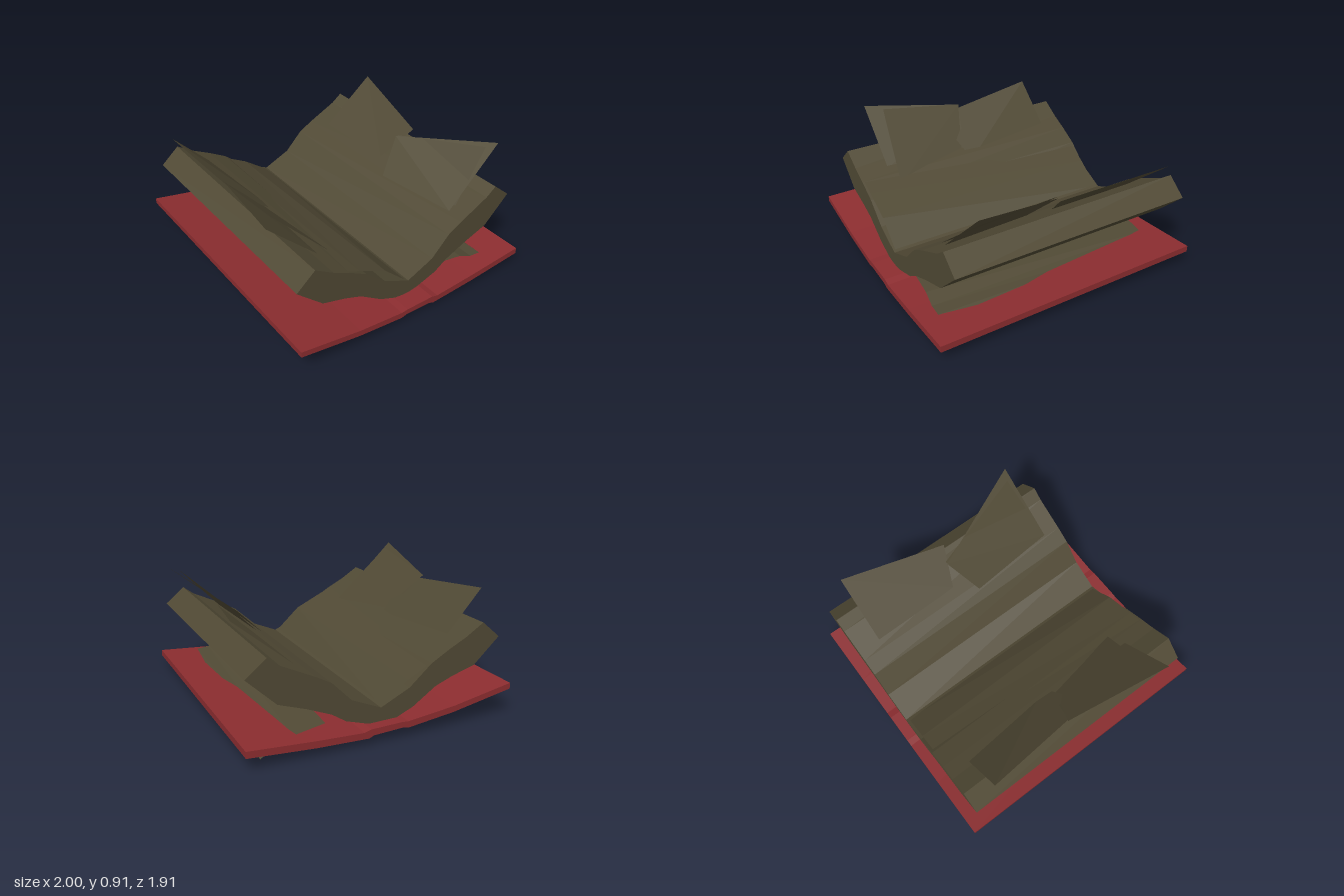
import * as THREE from 'three';

const coverRed = new THREE.MeshStandardMaterial({ color: 0x8c2d30 });
coverRed.name = 'cover red';
const paper = new THREE.MeshStandardMaterial({ color: 0x504934, side: THREE.DoubleSide, flatShading: true });
paper.name = 'aged paper';

// Extrudes a [z, y] outline along x, with a slight sideways lean
function extrudeAlongX(name, outline, x0, x1, lean, material) {
  const shape = new THREE.Shape(outline.map(([z, y]) => new THREE.Vector2(z, y)));
  const geo = new THREE.ExtrudeGeometry(shape, { depth: x1 - x0, bevelEnabled: false });
  geo.rotateY(-Math.PI / 2);
  geo.translate(x1, 0, 0);
  const p = geo.attributes.position;
  for (let i = 0; i < p.count; i++) p.setY(i, p.getY(i) - lean * p.getX(i));
  geo.computeVertexNormals();
  const mesh = new THREE.Mesh(geo, material);
  mesh.name = name;
  return mesh;
}

// Thin sheet through rows of [left point, right point]
function sheet(name, rows) {
  const geo = new THREE.BufferGeometry();
  const index = [];
  for (let i = 0; i < rows.length - 1; i++) {
    const a = i * 2;
    index.push(a, a + 1, a + 3, a, a + 3, a + 2);
  }
  geo.setAttribute('position', new THREE.Float32BufferAttribute(rows.flat(2), 3));
  geo.setIndex(index);
  const flat = geo.toNonIndexed();
  flat.computeVertexNormals();
  const mesh = new THREE.Mesh(flat, paper);
  mesh.name = name;
  return mesh;
}

export function createModel() {
  const book = new THREE.Group();
  book.name = 'openBook';

  // Cover boards with the spine between two hinges
  book.add(extrudeAlongX('cover', [
    [0.955, 0.19], [0.5, 0.105], [0.15, 0.063], [0.11, 0.072], [-0.1, 0.062], [-0.135, 0.047], [-0.5, 0.06], [-0.955, 0.092],
    [-0.955, 0.138], [-0.5, 0.108], [-0.17, 0.093], [-0.12, 0.107], [0.1, 0.112], [0.15, 0.108], [0.5, 0.148], [0.955, 0.232],
  ], -1, 1, 0.012, coverRed));

  // Page block, a shallow V with wavy sides
  book.add(extrudeAlongX('pageBlock', [
    [0.89, 0.56], [0.7, 0.385], [0.53, 0.335], [0.4, 0.285], [0.23, 0.17], [0.1, 0.115], [0, 0.1], [-0.1, 0.115],
    [-0.26, 0.165], [-0.36, 0.23], [-0.53, 0.3], [-0.72, 0.365], [-0.92, 0.555],
    [-0.78, 0.67], [-0.7, 0.61], [-0.47, 0.5], [-0.36, 0.44], [-0.22, 0.3], [-0.01, 0.21],
    [0.2, 0.31], [0.36, 0.45], [0.5, 0.53], [0.62, 0.59], [0.755, 0.675],
  ], -0.92, 0.87, 0.005, paper));

  // Lifted page rising from the spine on the front half
  book.add(sheet('liftedPage', [
    [[-0.9, 0.215, 0], [0.855, 0.205, 0]],
    [[-0.9, 0.36, 0.2], [0.855, 0.38, 0.19]],
    [[-0.9, 0.48, 0.42], [0.855, 0.48, 0.4]],
    [[-0.9, 0.58, 0.61], [0.855, 0.575, 0.61]],
  ]));

  // Loose pages standing out of the front half
  book.add(sheet('frontLoosePageRight', [
    [[-0.74, 0.862, 0.86], [0.11, 0.765, 0.78]],
    [[-0.76, 0.57, 0.58], [-0.03, 0.49, 0.47]],
  ]));
  book.add(sheet('frontLoosePageLeft', [
    [[-0.1, 0.812, 0.81], [0.53, 0.9, 0.838]],
    [[0.02, 0.55, 0.55], [0.6, 0.47, 0.42]],
  ]));
  book.add(sheet('frontLoosePageOuter', [
    [[-0.09, 0.812, 0.81], [0.64, 0.915, 0.94]],
    [[0, 0.5, 0.5], [0.64, 0.55, 0.56]],
  ]));

  // Loose pages standing out of the back half
  book.add(sheet('backLoosePageRight', [
    [[-0.74, 0.862, -0.93], [0.02, 0.745, -0.77]],
    [[-0.75, 0.52, -0.515], [-0.08, 0.535, -0.54]],
  ]));
  book.add(sheet('backLoosePageLeft', [
    [[-0.04, 0.7, -0.65], [0.71, 0.885, -0.94]],
    [[0.08, 0.485, -0.43], [0.74, 0.51, -0.48]],
  ]));
  book.add(sheet('backLoosePageInner', [
    [[-0.04, 0.7, -0.67], [0.67, 0.86, -0.86]],
    [[0.08, 0.49, -0.46], [0.74, 0.52, -0.53]],
  ]));

  // Fallen page caught between the block and the back board
  book.add(sheet('fallenPage', [
    [[-0.87, 0.16, -0.38], [0.86, 0.21, -0.32]],
    [[-0.87, 0.12, -0.6], [0.87, 0.185, -0.5]],
    [[-0.87, 0.09, -0.7], [0.88, 0.145, -0.6]],
    [[-0.87, 0.006, -0.82], [0.88, 0.135, -0.69]],
  ]));

  return book;
}
